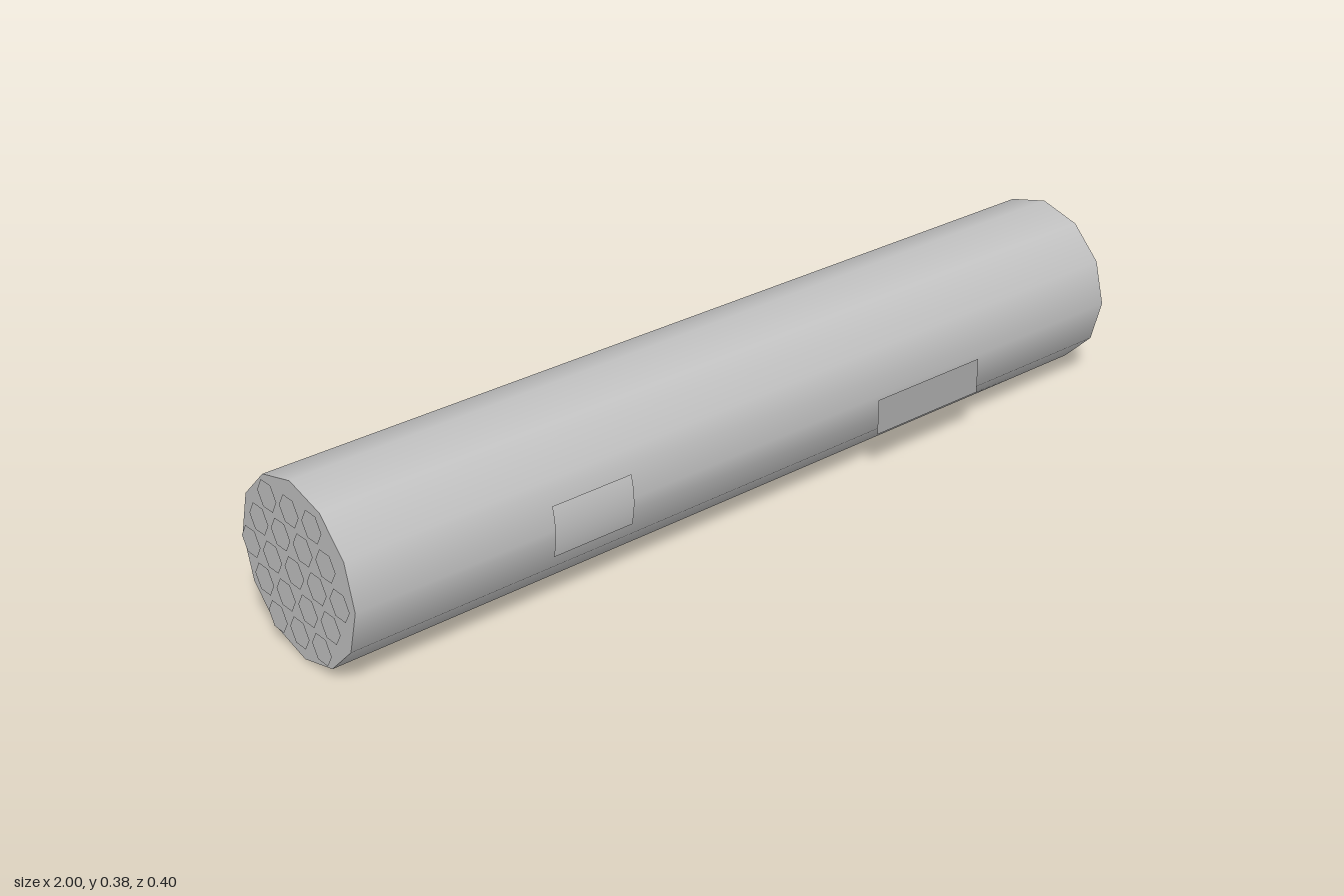
import * as THREE from 'three';

const RADIUS = 0.189, HALF = 0.9934;

export function createModel() {
  const group = new THREE.Group();
  const shellGrey = new THREE.MeshStandardMaterial({ color: 0xc0c0c0, side: THREE.DoubleSide });
  const panelGrey = new THREE.MeshStandardMaterial({ color: 0xa8a8a8, side: THREE.DoubleSide });

  const add = (name, geometry, material, x, y, z, parent = group) => {
    const mesh = new THREE.Mesh(geometry, material);
    mesh.name = name;
    mesh.position.set(x, y, z);
    parent.add(mesh);
    return mesh;
  };

  // Long twelve-sided body lying along x
  const body = new THREE.CylinderGeometry(RADIUS, RADIUS, HALF * 2, 12).rotateZ(Math.PI / 2);
  add('body', body, shellGrey, 0, RADIUS, 0);

  // Honeycomb of hexagonal faces just off each end: rows of 3, 4, 5, 4, 3
  const pitch = 0.0743;
  for (const side of [1, -1]) {
    const honeycomb = new THREE.Group();
    honeycomb.name = side > 0 ? 'leftHoneycomb' : 'rightHoneycomb';
    const hex = new THREE.CircleGeometry(0.0327, 6).rotateY(side * Math.PI / 2);
    for (let row = -2; row <= 2; row++) {
      const count = 5 - Math.abs(row);
      for (let i = 0; i < count; i++) {
        const z = (i - (count - 1) / 2) * pitch;
        add('hexCell', hex, shellGrey, side, RADIUS + row * pitch * Math.sqrt(3) / 2, z, honeycomb);
      }
    }
    group.add(honeycomb);
  }

  // Curved cover and flat panel, on the front and back
  const arc = 0.28;
  const cover = new THREE.CylinderGeometry(0.198, 0.198, 0.19, 8, 1, true, -arc, arc * 2).rotateZ(Math.PI / 2);
  const panel = new THREE.PlaneGeometry(0.298, 0.08);
  for (const [side, turn] of [['front', 0], ['back', Math.PI]]) {
    const s = turn ? -1 : 1;
    add(side + 'Cover', cover, shellGrey, -0.46, RADIUS, 0).rotation.y = turn;
    add(side + 'Panel', panel, panelGrey, 0.443, 0.141, s * 0.191).rotation.y = turn;
  }
  return group;
}
